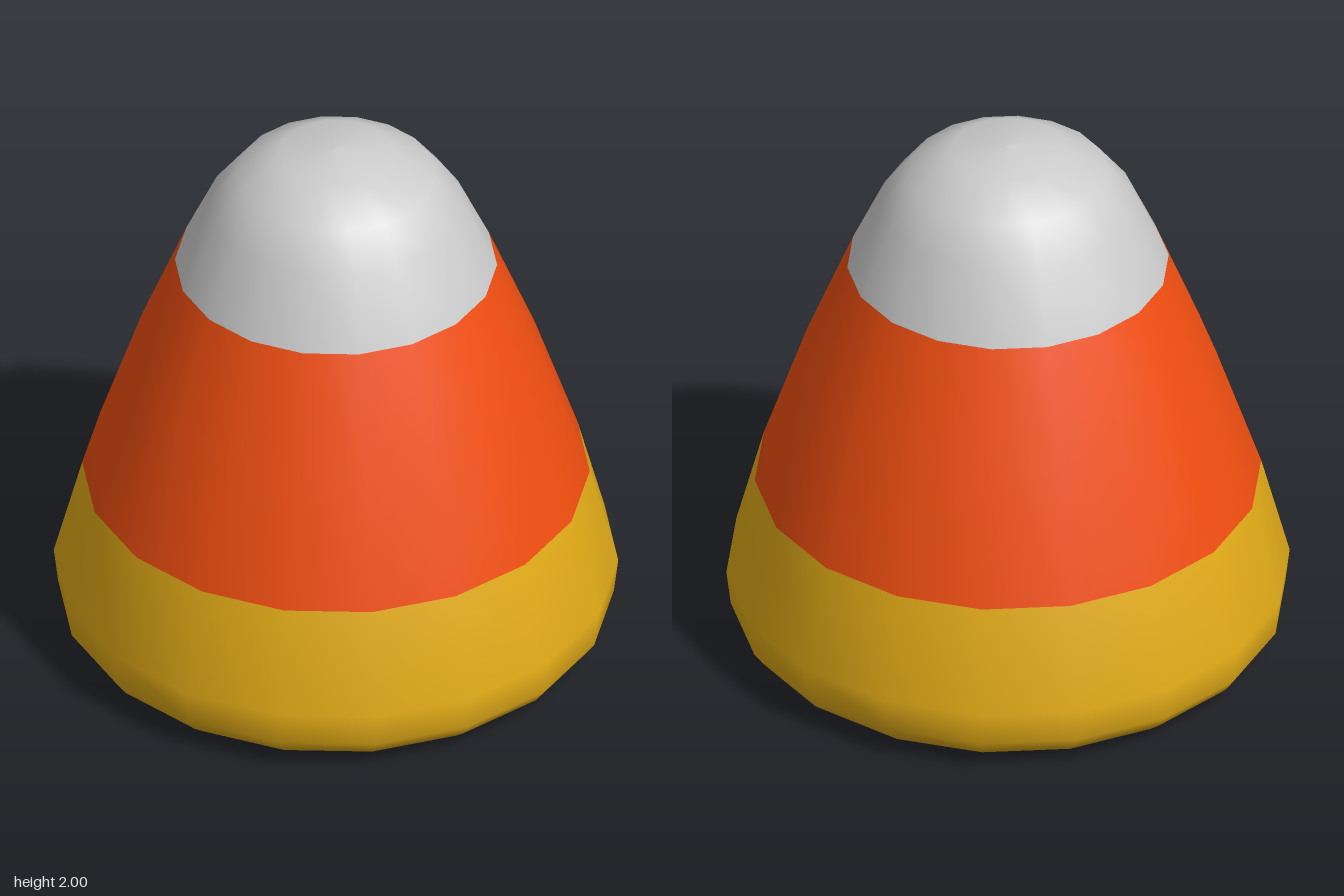
import * as THREE from 'three';

const SIDES = 18;

// Outer profile from the base centre to the tip: [radius, height]
const PROFILE = [
  [0, 0], [0.8, 0], [0.82, 0], [0.89, 0.03], [0.94, 0.07], [0.975, 0.12], [0.99, 0.25],
  [0.89, 0.63], [0.73, 1.1], [0.565, 1.51],
  [0.45, 1.76], [0.35, 1.89], [0.2, 1.98], [0, 2],
];

// Colour bands, each covering the profile segments from..to
const BANDS = [
  { name: 'yellowBase', color: 0xe2ab17, from: 0, to: 7 },
  { name: 'orangeMiddle', color: 0xf04e10, from: 7, to: 9 },
  { name: 'paleTip', color: 0xcccccc, from: 9, to: 13 },
];

export function createModel() {
  const group = new THREE.Group();
  group.name = 'candy';

  // Whole body, turned so that a corner lies on the x axis
  const points = PROFILE.map(([r, y]) => new THREE.Vector2(r, y));
  const body = new THREE.LatheGeometry(points, SIDES, Math.PI / 2);
  const index = Array.from(body.index.array);
  const perSide = (PROFILE.length - 1) * 6;

  // Each band takes its own faces but keeps the body's smooth normals across the seams
  for (const { name, color, from, to } of BANDS) {
    const faces = [];
    for (let s = 0; s < SIDES; s++) {
      faces.push(...index.slice(s * perSide + from * 6, s * perSide + to * 6));
    }
    const geometry = body.clone();
    geometry.setIndex(faces);
    const mesh = new THREE.Mesh(geometry, new THREE.MeshStandardMaterial({ color }));
    mesh.name = name;
    group.add(mesh);
  }
  return group;
}
